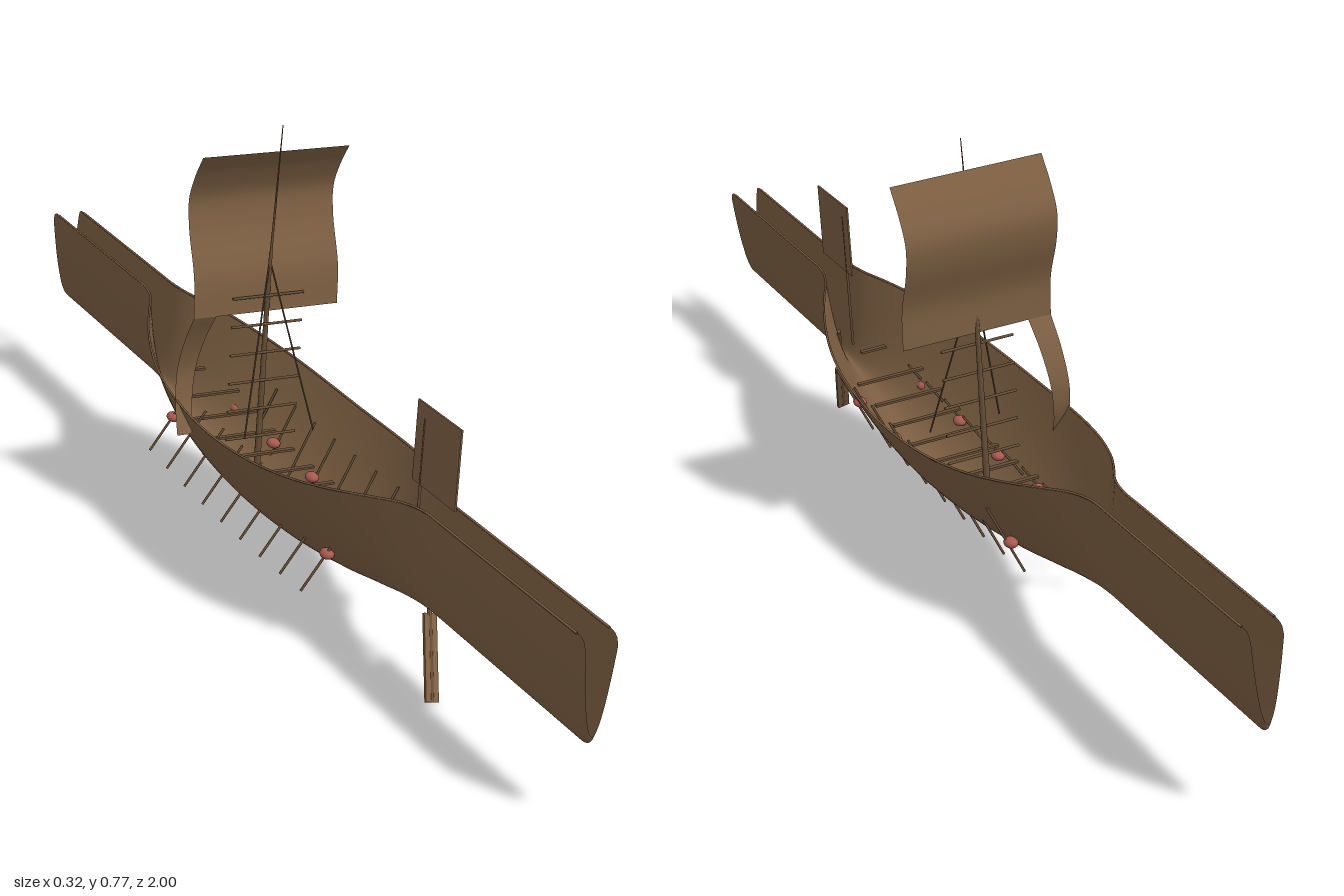
import * as THREE from 'three';

const wood = new THREE.MeshStandardMaterial({ color: 0x7d5f42, side: THREE.DoubleSide });
wood.name = 'brown wood';
const darkWood = new THREE.MeshStandardMaterial({ color: 0x664e36 });
darkWood.name = 'dark wood';
const red = new THREE.MeshStandardMaterial({ color: 0xa85a50 });
red.name = 'faded red';

// Piecewise curves of |z|: half width of the hull and upward sheer of its ends
const STATIONS = [0, 0.1, 0.2, 0.3, 0.4, 0.45, 0.5, 0.55, 1.01];
const WIDTHS = [0.15, 0.147, 0.137, 0.116, 0.081, 0.057, 0.034, 0.027, 0.027];
const SHEER = [0, 0.003, 0.011, 0.024, 0.042, 0.051, 0.058, 0.061, 0.0625];
const KEEL = 0.09, DEPTH = 0.175;

function sample(values, z) {
  const a = Math.abs(z);
  let i = 0;
  while (i < STATIONS.length - 2 && a > STATIONS[i + 1]) i++;
  const slope = k => (k <= 0 || k >= values.length - 1) ? 0
    : (values[k + 1] - values[k - 1]) / (STATIONS[k + 1] - STATIONS[k - 1]);
  const h = STATIONS[i + 1] - STATIONS[i], t = (a - STATIONS[i]) / h;
  if (i === STATIONS.length - 2) return THREE.MathUtils.lerp(values[i], values[i + 1], t);
  const t2 = t * t, t3 = t2 * t;
  return (2 * t3 - 3 * t2 + 1) * values[i] + (t3 - 2 * t2 + t) * h * slope(i)
    + (3 * t2 - 2 * t3) * values[i + 1] + (t3 - t2) * h * slope(i + 1);
}

// Surface over a grid of points given by fn(u, v)
function grid(nu, nv, fn) {
  const pos = [], idx = [];
  for (let i = 0; i <= nu; i++)
    for (let j = 0; j <= nv; j++) pos.push(...fn(i / nu, j / nv));
  for (let i = 0; i < nu; i++)
    for (let j = 0; j < nv; j++) {
      const a = i * (nv + 1) + j, b = a + nv + 1;
      idx.push(a, b, a + 1, b, b + 1, a + 1);
    }
  const g = new THREE.BufferGeometry();
  g.setAttribute('position', new THREE.Float32BufferAttribute(pos, 3));
  g.setIndex(idx);
  g.computeVertexNormals();
  return g;
}

export function createModel() {
  const model = new THREE.Group();
  model.name = 'galley';
  const ship = new THREE.Group();
  ship.name = 'heelingShip';
  ship.position.x = -0.0195;
  ship.rotation.set(0.0175, 0, -0.055);
  model.add(ship);

  const add = (name, geo, mat, x = 0, y = 0, z = 0) => {
    const m = new THREE.Mesh(geo, mat);
    m.name = name;
    m.position.set(x, y, z);
    ship.add(m);
    return m;
  };
  // Tapered round bar between two points
  const bar = (name, a, b, r0, r1 = r0, mat = darkWood) => {
    const p = new THREE.Vector3(...a), q = new THREE.Vector3(...b);
    const d = q.clone().sub(p);
    const m = add(name, new THREE.CylinderGeometry(r1, r0, d.length(), 8), mat);
    m.position.copy(p).add(q).multiplyScalar(0.5);
    m.quaternion.setFromUnitVectors(new THREE.Vector3(0, 1, 0), d.normalize());
    return m;
  };

  // Hull: parabolic open sections, corners rounded at both open ends
  const hull = grid(160, 32, (u, v) => {
    const s = u * 2 - 1;
    const z = Math.sign(s) * (1 - Math.pow(1 - Math.abs(s), 1.25));
    const e = Math.max(0, (Math.abs(z) - 0.98) / 0.02);
    const c = 0.1 * (1 - Math.sqrt(Math.max(0, 1 - e * e)));
    const k = v * 2 - 1;
    return [k * sample(WIDTHS, z),
      KEEL + sample(SHEER, z) + DEPTH * (c + (1 - 2 * c) * k * k), z];
  });
  add('hull', hull, wood);

  // Gunwales along both upper edges
  for (const side of [-1, 1]) {
    const pts = [];
    for (let i = 0; i <= 40; i++) {
      const z = -0.975 + i * 1.95 / 40;
      pts.push(new THREE.Vector3(side * sample(WIDTHS, z), KEEL + DEPTH + sample(SHEER, z) - 0.001, z));
    }
    add('gunwale', new THREE.TubeGeometry(new THREE.CatmullRomCurve3(pts), 120, 0.002, 6), wood);
  }

  // Mast with cross bars and two stays
  bar('mast', [0, 0.1, -0.092], [0, 0.435, -0.089], 0.0065, 0.0045);
  bar('upperMast', [0, 0.43, -0.089], [0, 0.54, -0.085], 0.0045, 0.003);
  bar('mastTip', [0, 0.535, -0.085], [0, 0.768, -0.068], 0.0025, 0.0008);
  for (let i = 0; i < 6; i++) {
    const y = 0.46 - i * 0.052;
    bar('crossBar', [-0.067, y, -0.085], [0.067, y, -0.085], 0.0025);
  }
  for (const side of [-1, 1])
    bar('stay', [0, 0.525, -0.088], [side * 0.066, 0.23, -0.015], 0.0015);

  // Billowing sail and the torn strip hanging from its edge
  const profile = new THREE.CatmullRomCurve3([
    [0.7176, -0.083], [0.675, -0.112], [0.63, -0.131], [0.58, -0.125],
    [0.5, -0.096], [0.43, -0.09]
  ].map(([y, z]) => new THREE.Vector3(0, y, z)));
  add('sail', grid(28, 2, (u, v) => {
    const p = profile.getPoint(u);
    return [(v * 2 - 1) * 0.137, p.y, p.z];
  }), wood);
  const strip = new THREE.CatmullRomCurve3([
    [0.43, -0.09], [0.38, -0.115], [0.32, -0.131], [0.26, -0.122], [0.2136, -0.1]
  ].map(([y, z]) => new THREE.Vector3(0, y, z)));
  add('sailStrip', grid(16, 1, (u, v) => {
    const p = strip.getPoint(u);
    const left = -0.137 - 0.016 * u, right = -0.0945 - 0.031 * u;
    return [left + (right - left) * v, p.y, p.z];
  }), wood);

  // Rowing benches, oars and red seats
  for (let i = 0; i < 9; i++) {
    const z = -0.31 + i * 0.0765;
    const lift = sample(SHEER, z);
    const half = Math.min(0.065, sample(WIDTHS, z) * 0.62);
    add('bench', new THREE.BoxGeometry(half * 2, 0.004, 0.009), darkWood, 0, KEEL + 0.075 + lift, z);
    const l = lift * 0.4;
    bar('rightOar', [-0.108, 0.085 + l, z], [-0.04, 0.19 + l, z + 0.008], 0.0022);
    bar('leftOar', [0.042, 0.084 + l, z], [0.1, 0.215 + l, z + 0.008], 0.0022);
    if (i % 2 === 0) for (const side of [-1, 1]) {
      const seat = add('seat', new THREE.SphereGeometry(1, 12, 8), red,
        side * 0.064, KEEL + 0.055 + lift * 0.4, z);
      seat.scale.set(0.012, 0.009, 0.015);
    }
  }
  for (const z of [-0.375, 0.375])
    add('endBench', new THREE.BoxGeometry(0.05, 0.004, 0.01), darkWood, 0, 0.215, z);

  // Steering oar: shaft and flat blade
  const low = new THREE.Vector3(-0.011, 0.014, 0.578), high = new THREE.Vector3(0.038, 0.235, 0.443);
  bar('steeringShaft', low.toArray(), high.toArray(), 0.004);
  const blade = add('steeringBlade', new THREE.BoxGeometry(0.023, 0.14, 0.006), wood);
  blade.position.copy(low).lerp(high, 0.26);
  blade.quaternion.setFromUnitVectors(new THREE.Vector3(0, 1, 0), high.clone().sub(low).normalize());

  // Square bow panel on its pole
  add('bowPanel', new THREE.BoxGeometry(0.003, 0.135, 0.135), wood, 0.002, 0.405, 0.511);
  bar('panelPole', [0.002, 0.19, 0.468], [0.002, 0.448, 0.468], 0.0025);

  return model;
}
